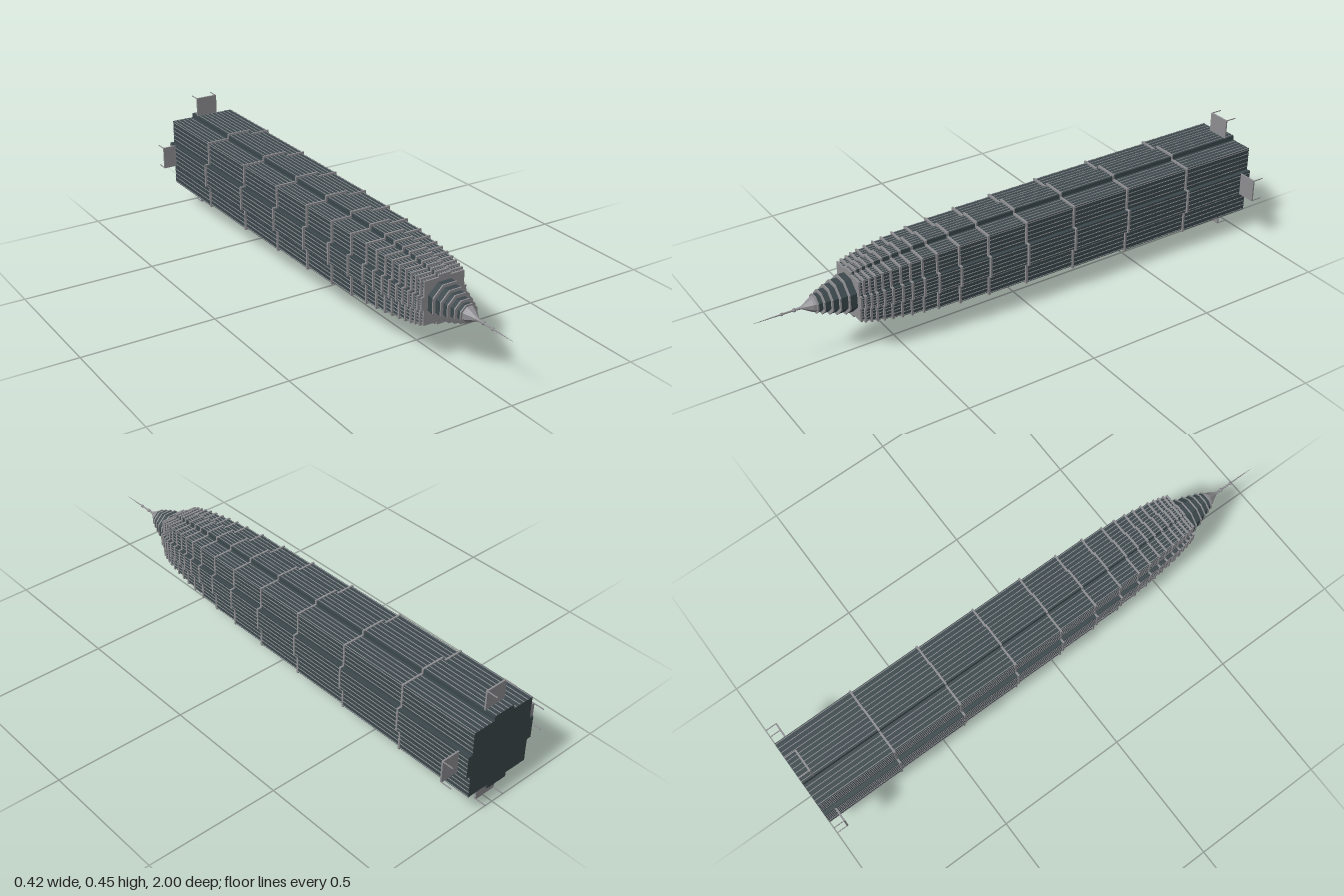
import * as THREE from 'three';
import { mergeGeometries } from 'three/addons/utils/BufferGeometryUtils.js';

const slate = new THREE.MeshStandardMaterial({ color: 0x3b484c });
slate.name = 'slate wall';
const grey = new THREE.MeshStandardMaterial({ color: 0x8f8f93 });
grey.name = 'grey stone';

// Tower lies along z: [front z of tier, half width across the bays]
const TIERS = [
  [-0.69, 0.150], [-0.415, 0.146], [-0.18, 0.142], [0.02, 0.138], [0.175, 0.133], [0.29, 0.128],
  [0.375, 0.123], [0.43, 0.119], [0.475, 0.115], [0.51, 0.111], [0.545, 0.107], [0.575, 0.103],
  [0.60, 0.099], [0.62, 0.095], [0.64, 0.091], [0.655, 0.086],
];
// Octagonal crown: [front z, half width across flats]
const CROWN = [[0.685, 0.066], [0.715, 0.058], [0.74, 0.050], [0.765, 0.041], [0.785, 0.033]];
const LEDGE = 0.007;

function mesh(name, geometry, material) {
  const m = new THREE.Mesh(geometry, material);
  m.name = name;
  return m;
}

// Square body half width and bay half width for a given overall half width
function section(bay) {
  const main = bay * 0.885;
  return { bay, main, w: Math.min(0.0435, 0.0435 - (0.128 - main) * 0.43) };
}

// Square with a shallow bay in the middle of each side, grown by e
function plusPrism({ bay, main, w }, z0, z1, e = 0) {
  const b = bay + e, m = main + e, h = w + e;
  const quarter = [[b, -h], [b, h], [m, h], [m, m], [h, m]];
  const pts = [];
  for (let k = 0; k < 4; k++) {
    for (const [x, y] of quarter.slice(0, 4)) {
      const v = new THREE.Vector2(x, y).rotateAround(new THREE.Vector2(), k * Math.PI / 2);
      pts.push(v);
    }
    pts.push(new THREE.Vector2(h, m).rotateAround(new THREE.Vector2(), k * Math.PI / 2));
  }
  const g = new THREE.ExtrudeGeometry(new THREE.Shape(pts), { depth: z1 - z0, bevelEnabled: false });
  return g.translate(0, 0, z0);
}

// Octagonal prism with flats on the axes
function octPrism(half, z0, z1) {
  const g = new THREE.CylinderGeometry(half / Math.cos(Math.PI / 8), half / Math.cos(Math.PI / 8), z1 - z0, 8);
  return g.rotateY(Math.PI / 8).rotateX(Math.PI / 2).translate(0, 0, (z0 + z1) / 2).toNonIndexed();
}

// Thin fins running along every wall of a tier
function fins({ bay, main, w }, z0, z1) {
  const list = [];
  const add = (radius, t, k) => list.push(
    new THREE.BoxGeometry(0.003, 0.0024, z1 - z0)
      .translate(radius, t, (z0 + z1) / 2).rotateZ(k * Math.PI / 2));
  for (let k = 0; k < 4; k++) {
    for (let i = -2; i <= 2; i++) add(bay, i * w * 0.4, k);
    for (let i = 0; i < 5; i++) {
      const t = w + (main - w) * (i + 0.75) / 5;
      add(main, t, k);
      add(main, -t, k);
    }
  }
  return list;
}

export function createModel() {
  const model = new THREE.Group();
  model.name = 'tower';
  const tower = new THREE.Group();
  tower.name = 'towerAxis';
  tower.position.set(-0.01, 0.227, 0);
  model.add(tower);

  // Stepped shaft with ledges and fins
  const walls = [], ledges = [], finList = [];
  let z = -1;
  for (const [end, bay] of TIERS) {
    const s = section(bay);
    walls.push(plusPrism(s, z, end - LEDGE));
    ledges.push(plusPrism(s, end - LEDGE, end, 0.003));
    finList.push(...fins(s, z, end - LEDGE));
    z = end;
  }
  tower.add(mesh('shaftWalls', mergeGeometries(walls), slate));
  tower.add(mesh('shaftLedges', mergeGeometries(ledges), grey));
  tower.add(mesh('wallFins', mergeGeometries(finList), grey));

  // Octagonal crown
  const crownWalls = [], crownLedges = [];
  for (const [end, half] of CROWN) {
    crownWalls.push(octPrism(half - 0.002, z, end - 0.005));
    crownLedges.push(octPrism(half, end - 0.005, end));
    z = end;
  }
  const flat = (list) => {
    const g = mergeGeometries(list);
    g.computeVertexNormals();
    return g;
  };
  tower.add(mesh('crownWalls', flat(crownWalls), slate));
  tower.add(mesh('crownLedges', flat(crownLedges), grey));

  // Cone roof and beaded spire, eight sided
  const profile = [
    [0.029, 0.785], [0.026, 0.795], [0.008, 0.825], [0.005, 0.835], [0.004, 0.85], [0.007, 0.853],
    [0.007, 0.859], [0.0035, 0.862], [0.003, 0.895], [0.0055, 0.898], [0.0055, 0.904],
    [0.0025, 0.907], [0.002, 0.945], [0.0005, 1.0],
  ].map(([r, y]) => new THREE.Vector2(r, y));
  const spire = new THREE.LatheGeometry(profile, 8).rotateY(Math.PI / 8).rotateX(Math.PI / 2).toNonIndexed();
  spire.computeVertexNormals();
  tower.add(mesh('spire', spire, grey));

  // Entrance canopies on thin posts, one per side
  [0.221, 0.225, 0.203, 0.227].forEach((reach, k) => {
    const canopy = new THREE.Group();
    canopy.name = 'canopy';
    const inner = 0.147;
    const roof = mesh('canopyRoof', new THREE.BoxGeometry(reach - inner, 0.087, 0.006), grey);
    roof.position.set((reach + inner) / 2, 0, -0.957);
    canopy.add(roof);
    for (const side of [-1, 1]) {
      const post = mesh('canopyPost', new THREE.BoxGeometry(0.003, 0.003, 0.042), grey);
      post.position.set(reach - 0.0015, side * 0.042, -0.979);
      canopy.add(post);
    }
    canopy.rotation.z = k * Math.PI / 2;
    tower.add(canopy);
  });
  return model;
}
